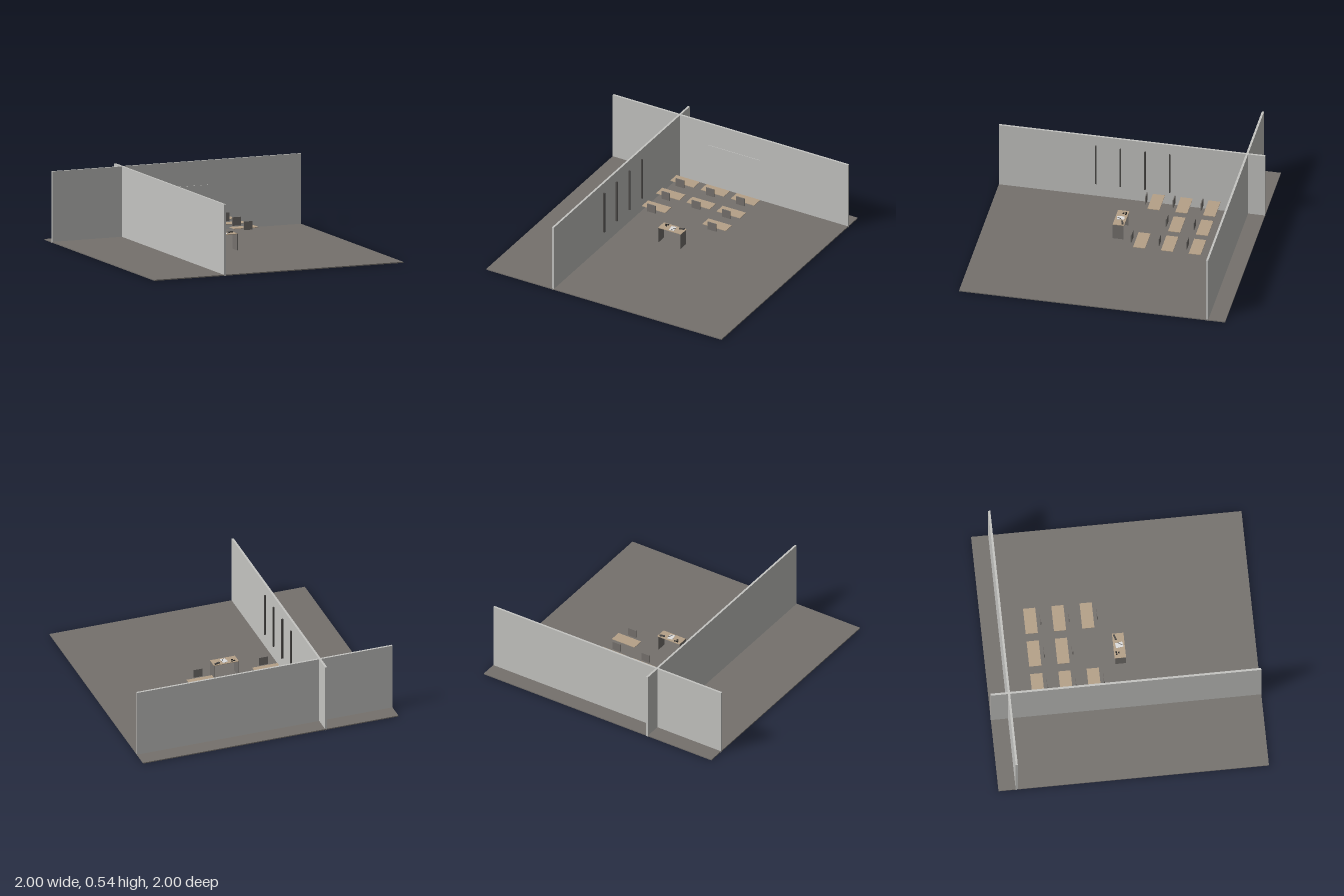
import * as THREE from 'three';

const mat = (name, color) => {
  const m = new THREE.MeshStandardMaterial({ color });
  m.name = name;
  return m;
};

export function createModel() {
  const room = new THREE.Group();
  room.name = 'classroom';
  const wall = mat('wall grey', 0xc4c4c1);
  const stone = mat('warm grey', 0x75716d);
  const wood = mat('pale wood', 0xb5a188);
  const dark = mat('dark grey', 0x4c4a48);
  const ink = mat('black', 0x222222);
  const paper = mat('paper', 0xdedede);

  // Box given by its minimum and maximum corners
  const box = (name, material, [x0, y0, z0], [x1, y1, z1], parent = room) => {
    const mesh = new THREE.Mesh(new THREE.BoxGeometry(x1 - x0, y1 - y0, z1 - z0), material);
    mesh.position.set((x0 + x1) / 2, (y0 + y1) / 2, (z0 + z1) / 2);
    mesh.name = name;
    parent.add(mesh);
    return mesh;
  };

  // Floor and the two crossing walls
  box('floor', stone, [-1, 0.002, -1], [1, 0.01, 1]);
  box('backWall', wall, [-1, 0, -0.873], [1, 0.535, -0.857]);
  box('sideWall', wall, [-0.442, 0, -1], [-0.426, 0.535, 1]);

  // Board on the back wall
  box('board', wall, [-0.185, 0.17, -0.857], [0.25, 0.352, -0.853]);

  // Upright slats on the side wall
  for (const z of [-0.285, -0.1, 0.085, 0.27]) {
    box('wallSlat', dark, [-0.426, 0.12, z - 0.005], [-0.413, 0.455, z + 0.005]);
  }

  // Pupil desks with chair backs; the middle of the nearest row is left free
  const top = 0.134;
  for (const z of [-0.636, -0.427, -0.218]) {
    for (const x of [-0.257, 0, 0.257]) {
      if (x === 0 && z === -0.218) continue;
      const place = new THREE.Group();
      place.name = 'pupilDesk';
      room.add(place);
      box('deskTop', wood, [x - 0.099, top - 0.004, z - 0.045], [x + 0.099, top, z + 0.045], place);
      box('chairBack', stone, [x - 0.035, 0.124, z + 0.071], [x + 0.035, 0.188, z + 0.078], place);
    }
  }

  // Near desk with two panel legs
  const desk = new THREE.Group();
  desk.name = 'nearDesk';
  room.add(desk);
  box('deskTop', wood, [-0.098, top - 0.004, -0.05], [0.096, top, 0.035], desk);
  for (const x of [-0.095, 0.092]) {
    box('deskLeg', stone, [x - 0.003, 0.01, -0.045], [x + 0.003, top - 0.004, 0.036], desk);
  }

  // Sheets of paper, a pen and small objects on the near desk
  const sheet = box('sheet', paper, [-0.017, top, -0.033], [0.023, top + 0.002, 0.022], desk);
  sheet.rotation.y = 0.15;
  const pen = box('pen', ink, [0.01, top + 0.002, -0.02], [0.013, top + 0.004, 0.02], desk);
  pen.rotation.y = -0.6;
  const pencilCase = box('pencilCase', dark, [0.044, top, -0.038], [0.086, top + 0.008, -0.025], desk);
  pencilCase.rotation.y = 0.3;
  for (const [x, z] of [[-0.068, -0.032], [-0.05, -0.034], [-0.058, -0.014]]) {
    box('eraser', ink, [x - 0.007, top, z - 0.005], [x + 0.007, top + 0.004, z + 0.005], desk);
  }
  return room;
}
